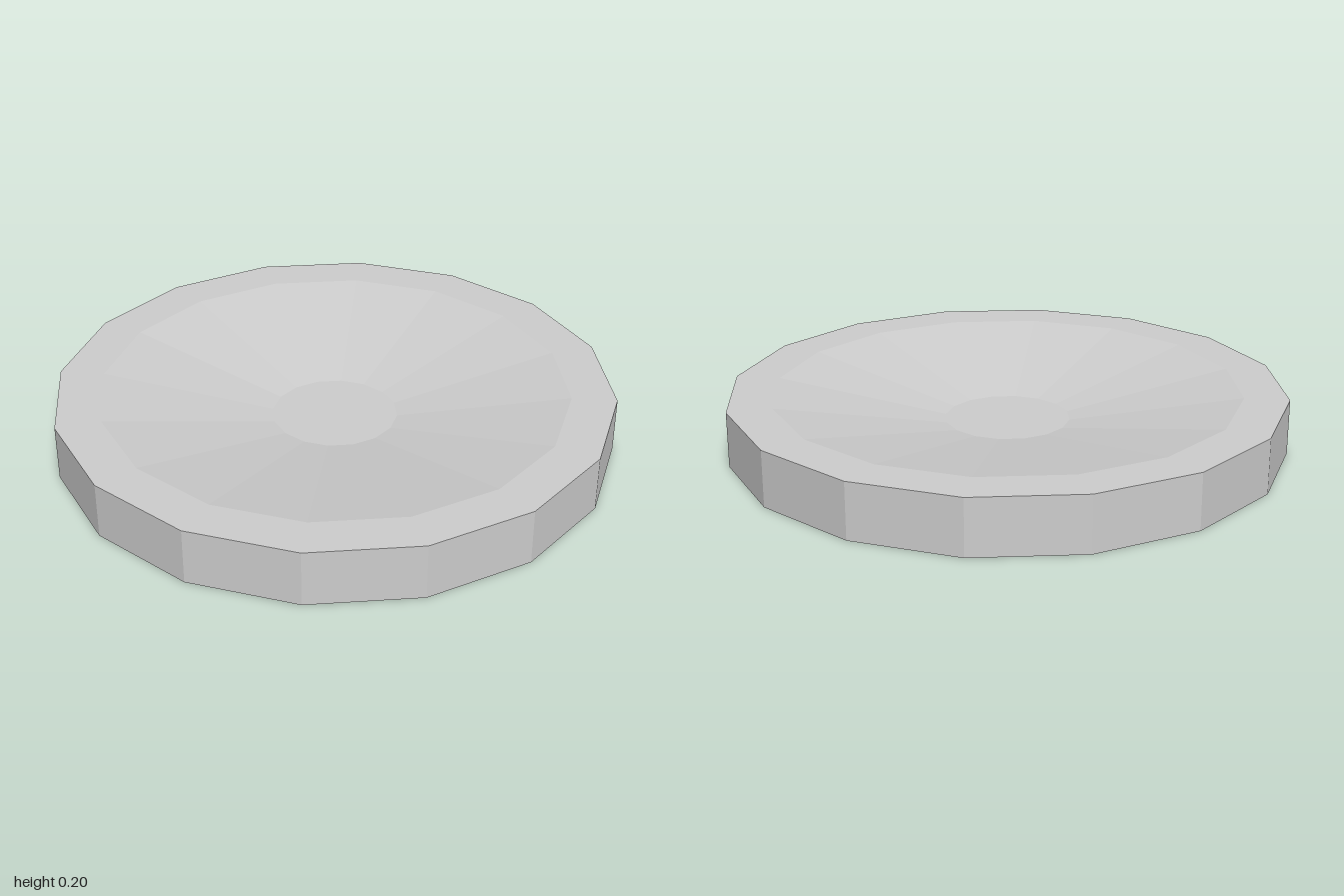
import * as THREE from 'three';

export function createModel() {
  const group = new THREE.Group();
  group.name = 'dish';
  const grey = new THREE.MeshStandardMaterial({ color: 0xcccccc });
  grey.name = 'light grey';
  grey.flatShading = true;

  // Profile: base, outer wall, flat rim, sloping bowl, small flat floor
  const profile = [
    [0, 0], [1, 0], [1, 0.2], [0.84, 0.2], [0.225, 0.09], [0, 0.09],
  ].map(([r, y]) => new THREE.Vector2(r, y));

  // Sixteen-sided shallow dish
  const dish = new THREE.Mesh(new THREE.LatheGeometry(profile, 16), grey);
  dish.name = 'shallowDish';
  group.add(dish);
  return group;
}
